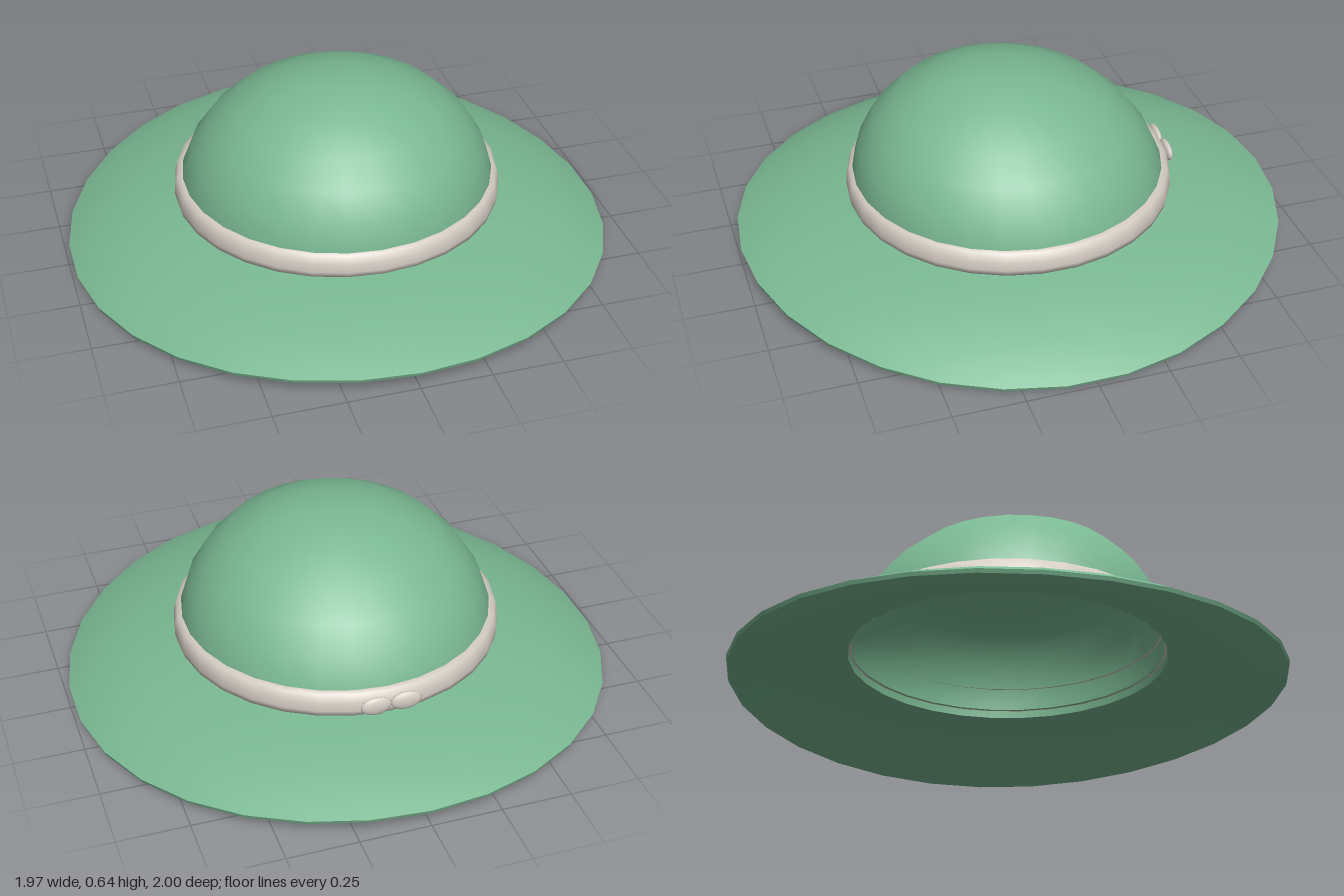
import * as THREE from 'three';
import { mergeVertices } from 'three/addons/utils/BufferGeometryUtils.js';

const SEGMENTS = 30;

// Revolve a profile of [radius, height], move its vertices by a rule, and smooth it across the seam.
function revolve(profile, rule) {
  const geo = new THREE.LatheGeometry(profile.map(([r, y]) => new THREE.Vector2(r, y)), SEGMENTS);
  geo.deleteAttribute('uv');
  geo.deleteAttribute('normal');
  const pos = geo.attributes.position;
  const v = new THREE.Vector3();
  for (let i = 0; i < pos.count; i++) {
    v.fromBufferAttribute(pos, i);
    if (rule) rule(v);
    pos.setXYZ(i, v.x, v.y, v.z);
  }
  const merged = mergeVertices(geo, 1e-4);
  merged.computeVertexNormals();
  return merged;
}

// The brim droops towards its left and right sides.
function droop(v) {
  v.y -= 0.052 * v.x * v.x * (v.x * v.x + v.z * v.z);
  v.x *= 0.99;
}

// The top of the crown leans slightly forward.
function lean(v) {
  v.z += 0.04 * Math.max(0, (v.y - 0.2) / 0.44);
}

export function createModel() {
  const hat = new THREE.Group();
  hat.name = 'hat';

  const felt = new THREE.MeshStandardMaterial({ color: 0x7ab892, side: THREE.DoubleSide });
  felt.name = 'green felt';
  const ribbon = new THREE.MeshStandardMaterial({ color: 0xd6cec5, side: THREE.DoubleSide });
  ribbon.name = 'pale ribbon';

  const add = (name, geometry, material) => {
    const mesh = new THREE.Mesh(geometry, material);
    mesh.name = name;
    hat.add(mesh);
    return mesh;
  };

  // Domed crown, open underneath
  add('crown', revolve([
    [0.575, 0.145], [0.572, 0.2], [0.562, 0.27], [0.53, 0.36], [0.47, 0.45],
    [0.38, 0.535], [0.255, 0.603], [0.128, 0.64], [0, 0.642],
  ], lean), felt);

  // Brim: underside, thin rim and upper surface
  add('brimUnderside', revolve([
    [0.575, 0.147], [0.67, 0.136], [0.78, 0.112], [0.9, 0.078], [0.995, 0.052],
  ], droop), felt);
  add('brimRim', revolve([[0.995, 0.052], [1, 0.066]], droop), felt);
  add('brimTop', revolve([
    [1, 0.066], [0.94, 0.092], [0.85, 0.122], [0.74, 0.15], [0.64, 0.168], [0.57, 0.18],
  ], droop), felt);

  // Rounded ribbon band around the foot of the crown
  add('band', revolve([
    [0.565, 0.172], [0.59, 0.174], [0.594, 0.195], [0.592, 0.225], [0.582, 0.258], [0.56, 0.26],
  ]), ribbon);

  // Two flattened loops of the bow at the back
  const loop = new THREE.SphereGeometry(1, 16, 12);
  for (const side of [-1, 1]) {
    const mesh = add(side > 0 ? 'leftBowLoop' : 'rightBowLoop', loop, ribbon);
    mesh.scale.set(0.056, 0.035, 0.016);
    mesh.position.set(side * 0.054, 0.216, -0.6);
  }

  return hat;
}
